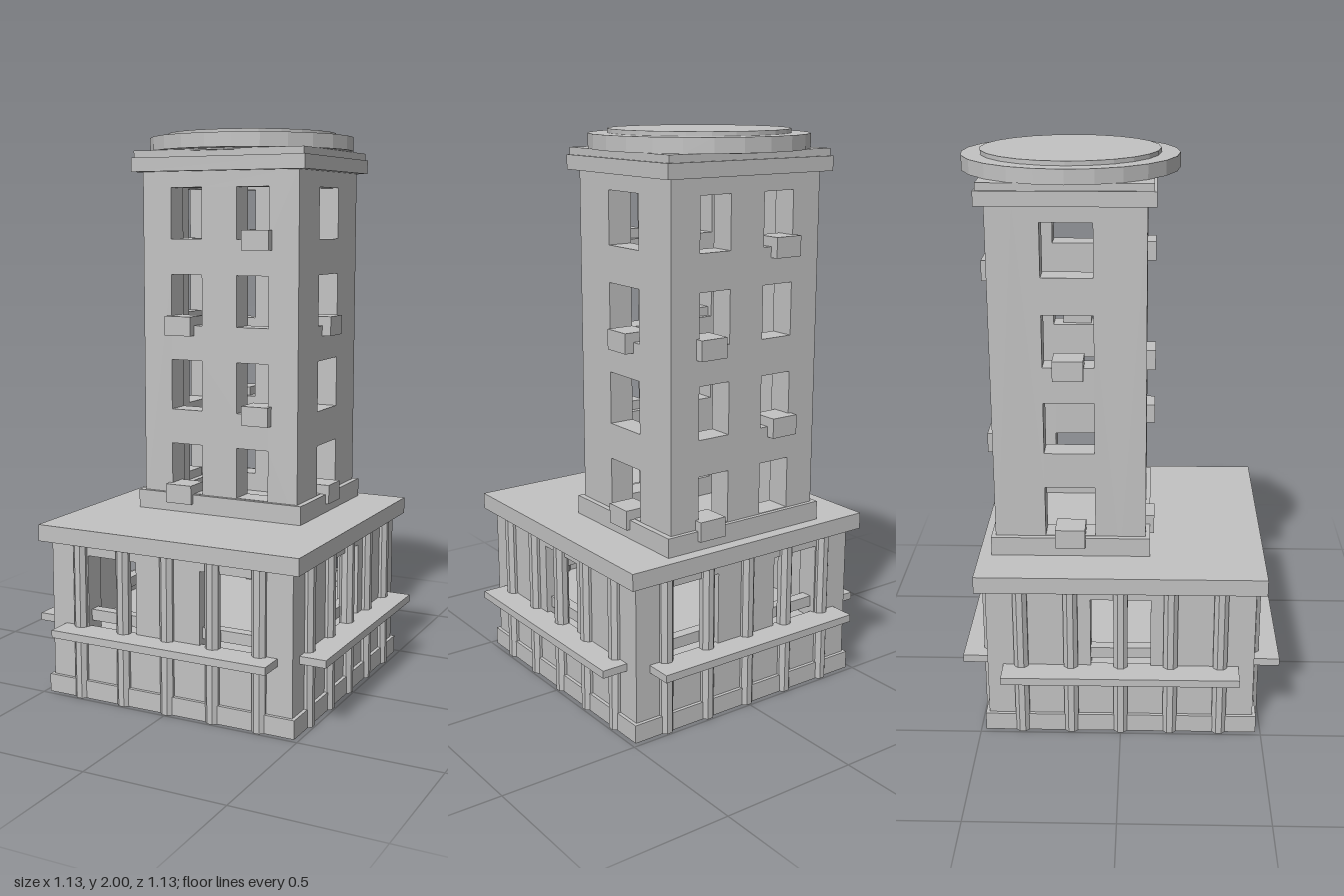
import * as THREE from 'three';

const stone = new THREE.MeshStandardMaterial({ color: 0xc2c2c2 });
stone.name = 'grey stone';

function add(parent, name, geometry, x = 0, y = 0, z = 0) {
  const mesh = new THREE.Mesh(geometry, stone);
  mesh.name = name;
  mesh.position.set(x, y, z);
  parent.add(mesh);
  return mesh;
}

// Box given by its size, bottom height and centre
function block(parent, name, w, h, d, x, bottom, z) {
  return add(parent, name, new THREE.BoxGeometry(w, h, d), x, bottom + h / 2, z);
}

// Upright wall slab with rectangular openings [x0, x1, y0, y1], centred in thickness
function wallGeometry(width, y0, y1, thickness, openings) {
  const rect = (path, a, b, c, d) =>
    path.moveTo(a, c).lineTo(b, c).lineTo(b, d).lineTo(a, d).closePath();
  const shape = rect(new THREE.Shape(), -width / 2, width / 2, y0, y1);
  for (const o of openings) shape.holes.push(rect(new THREE.Path(), ...o));
  const g = new THREE.ExtrudeGeometry(shape, { depth: thickness, bevelEnabled: false });
  return g.translate(0, 0, -thickness / 2);
}

// Four walls around a hollow room
function room(parent, name, w, d, y0, y1, t, frontOpenings, sideOpenings) {
  for (const s of [1, -1]) {
    add(parent, name + 'FrontBackWall', wallGeometry(w, y0, y1, t, frontOpenings), 0, 0, s * (d - t) / 2);
    const side = add(parent, name + 'SideWall', wallGeometry(d - 2 * t, y0, y1, t, sideOpenings), s * (w - t) / 2);
    side.rotation.y = Math.PI / 2;
  }
}

function createBase() {
  const base = new THREE.Group();
  base.name = 'base';
  block(base, 'plinth', 0.965, 0.065, 0.965, 0, 0, 0);
  block(base, 'lowerStorey', 0.94, 0.175, 0.94, 0, 0.065, 0);

  const frontOpenings = [[-0.32, -0.125, 0.24, 0.52], [0.125, 0.32, 0.24, 0.52]];
  const sideOpenings = [[-0.105, 0.105, 0.24, 0.52]];
  room(base, 'base', 0.94, 0.94, 0.24, 0.56, 0.08, frontOpenings, sideOpenings);
  block(base, 'roofSlab', 1.01, 0.06, 1.01, 0, 0.56, 0);

  // Each face carries columns, a ledge and window rails
  for (let i = 0; i < 4; i++) {
    const face = new THREE.Group();
    face.name = 'baseFace';
    face.rotation.y = i * Math.PI / 2;
    for (const x of [-0.35, -0.175, 0, 0.175, 0.35]) {
      const g = new THREE.CylinderGeometry(0.027, 0.027, 0.56, 8).rotateY(Math.PI / 8).toNonIndexed();
      g.computeVertexNormals();
      add(face, 'column', g, x, 0.28, 0.47);
    }
    block(face, 'ledge', 0.83, 0.027, 0.11, 0, 0.235, 0.51);
    for (const [a, b] of i % 2 ? sideOpenings : frontOpenings) {
      block(face, 'windowRail', b - a, 0.04, 0.04, (a + b) / 2, 0.28, 0.43);
    }
    base.add(face);
  }
  return base;
}

function createTower() {
  const tower = new THREE.Group();
  tower.name = 'tower';
  tower.position.z = -0.18;
  const w = 0.62, d = 0.53, t = 0.09;
  const sills = [0.69, 1.0, 1.31, 1.62];

  // Hollow shaft with two windows per storey front and back, one on each side
  const frontOpenings = [], sideOpenings = [];
  for (const y of sills) {
    frontOpenings.push([-0.195, -0.07, y, y + 0.183], [0.07, 0.195, y, y + 0.183]);
    sideOpenings.push([-0.0875, 0.0875, y, y + 0.183]);
  }
  room(tower, 'shaft', w, d, 0.62, 1.87, t, frontOpenings, sideOpenings);

  // Footing collar around the shaft
  for (const s of [1, -1]) {
    block(tower, 'collar', 0.66, 0.068, 0.03, 0, 0.62, s * 0.265);
    block(tower, 'collar', 0.03, 0.068, 0.56, s * 0.315, 0.62, 0);
  }

  // Small balconies alternate between the window columns
  sills.forEach((y, row) => {
    const x = row % 2 ? 0.155 : -0.155;
    block(tower, 'frontBalcony', 0.105, 0.07, 0.1, x, y - 0.037, 0.245);
    block(tower, 'backBalcony', 0.105, 0.07, 0.1, -x, y - 0.037, -0.245);
    if (row % 2 === 0) {
      for (const s of [1, -1]) block(tower, 'sideBalcony', 0.1, 0.07, 0.105, s * 0.293, y - 0.037, 0);
    }
  });

  // Cornice and round roof
  block(tower, 'cornice', 0.685, 0.05, 0.59, 0, 1.86, 0);
  block(tower, 'corniceStep', 0.67, 0.025, 0.575, 0, 1.91, 0);
  const disc = (name, r, y0, y1) => {
    const g = new THREE.CylinderGeometry(r, r, y1 - y0, 24).toNonIndexed();
    g.computeVertexNormals();
    add(tower, name, g, 0, (y0 + y1) / 2, 0);
  };
  disc('roofDisc', 0.375, 1.935, 1.985);
  disc('roofCap', 0.31, 1.93, 2.0);
  return tower;
}

export function createModel() {
  const model = new THREE.Group();
  model.name = 'towerBuilding';
  model.add(createBase(), createTower());
  return model;
}
